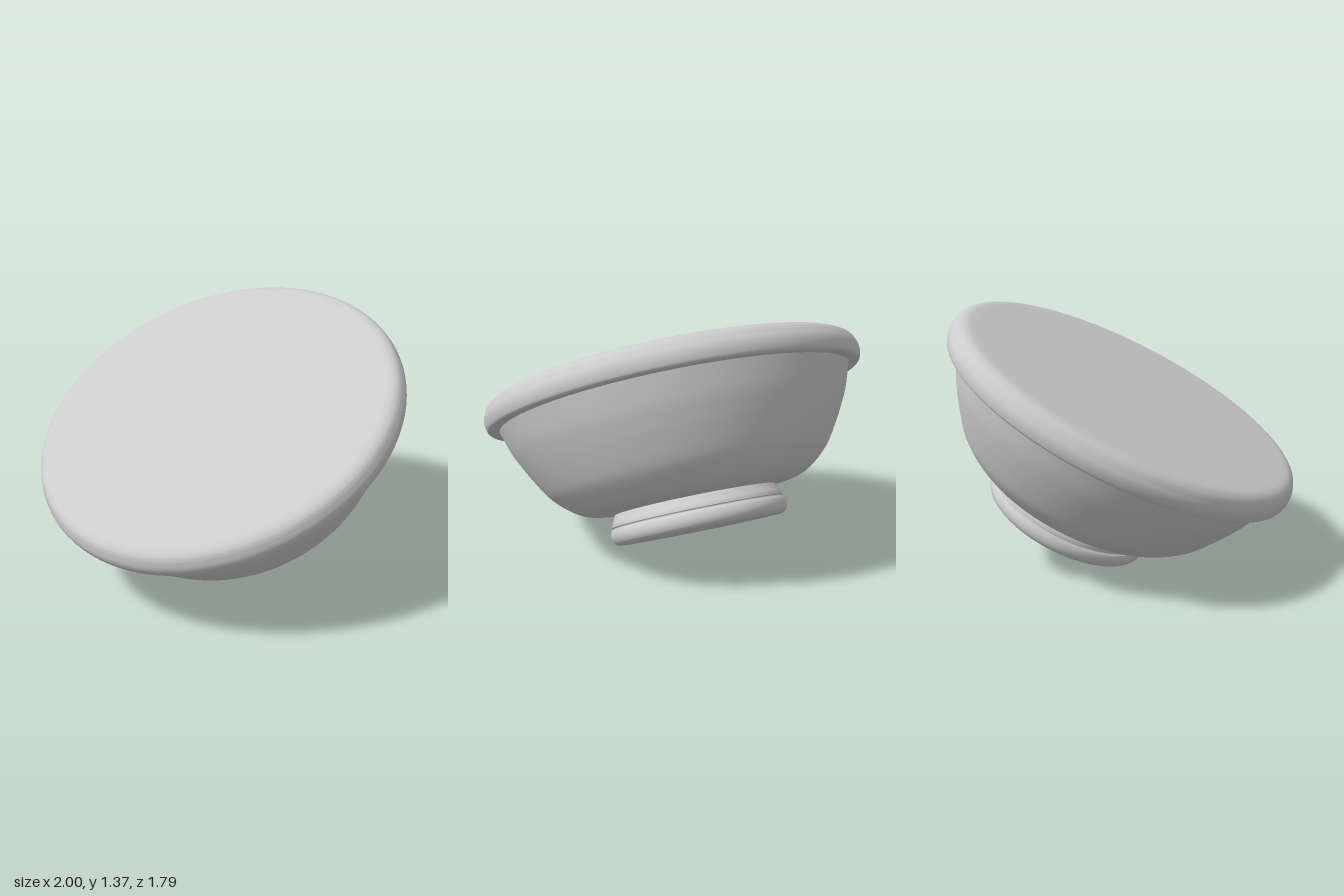
import * as THREE from 'three';

const material = new THREE.MeshStandardMaterial({ color: 0xcccccc });
const SEGMENTS = 96;

// Lathe part from [radius, height] points, listed bottom to top on the outside
function lathe(name, points, smooth = false) {
  let pts = points.map(([r, h]) => new THREE.Vector2(r, h));
  if (smooth) {
    pts = new THREE.SplineCurve(pts).getPoints(32);
    pts.forEach((p) => { p.x = Math.max(p.x, 0); });
  }
  const mesh = new THREE.Mesh(new THREE.LatheGeometry(pts, SEGMENTS), material);
  mesh.name = name;
  return mesh;
}

export function createModel() {
  const model = new THREE.Group();
  model.name = 'tiltedBowl';

  const bowl = new THREE.Group();
  bowl.name = 'bowl';

  // Foot: flat base, rounded flange, small groove and tapering neck
  bowl.add(lathe('footBase', [[0, 0.03], [0.437, 0.03]]));
  bowl.add(lathe('footFlange', [
    [0.437, 0.03], [0.453, 0.042], [0.463, 0.06], [0.466, 0.08], [0.462, 0.1], [0.454, 0.112],
  ], true));
  bowl.add(lathe('footGroove', [[0.454, 0.112], [0.443, 0.114], [0.443, 0.121], [0.451, 0.123]]));
  bowl.add(lathe('footNeck', [[0.451, 0.123], [0.448, 0.14], [0.436, 0.165], [0.424, 0.192]], true));

  // Body: shallow underside sweeping up to the rim
  bowl.add(lathe('body', [
    [0.36, 0.184], [0.43, 0.187], [0.52, 0.197], [0.59, 0.217], [0.65, 0.255], [0.705, 0.302],
    [0.75, 0.354], [0.81, 0.45], [0.85, 0.522], [0.888, 0.6], [0.932, 0.725],
  ], true));

  // Rim: flat lip underneath, curved band, rounded shoulder
  bowl.add(lathe('rimUnderside', [[0.9, 0.718], [0.978, 0.718]]));
  bowl.add(lathe('rimBand', [[0.978, 0.718], [0.99, 0.73], [0.998, 0.76], [0.997, 0.79], [0.985, 0.823]], true));
  bowl.add(lathe('rimShoulder', [[0.985, 0.823], [0.973, 0.841], [0.952, 0.856], [0.925, 0.864], [0.89, 0.866]], true));

  // Closed flat top
  bowl.add(lathe('topSurface', [[0.89, 0.866], [0, 0.866]]));

  // Tip the whole bowl towards the front
  bowl.rotation.x = THREE.MathUtils.degToRad(27.5);
  bowl.position.set(0, 0.182, -0.36);
  model.add(bowl);
  return model;
}
